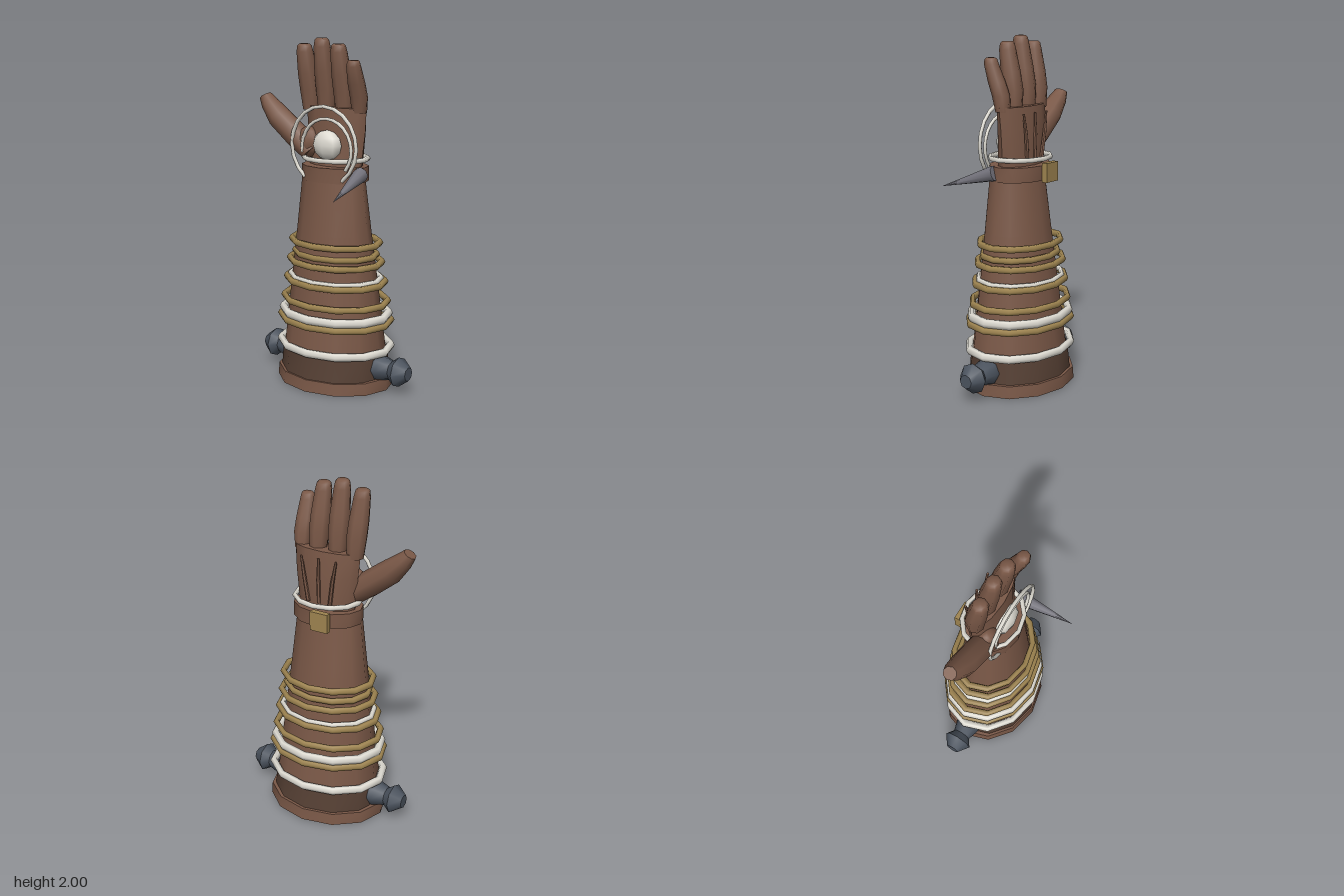
import * as THREE from 'three';
import { toCreasedNormals } from 'three/addons/utils/BufferGeometryUtils.js';

const mat = (name, color) => Object.assign(new THREE.MeshStandardMaterial({ color }), { name });

// Loft of elliptical sections [x, y, z, rx, rz, tilt], listed from bottom to top
function loft(sections, sides, caps = true) {
  const pos = [], idx = [], n = sections.length;
  for (const [x, y, z, rx, rz, tilt = 0] of sections) {
    for (let i = 0; i < sides; i++) {
      const a = (i / sides) * Math.PI * 2, u = rx * Math.sin(a);
      pos.push(x + u * Math.cos(tilt), y + u * Math.sin(tilt), z + rz * Math.cos(a));
    }
  }
  for (let j = 0; j < n - 1; j++) {
    for (let i = 0; i < sides; i++) {
      const k = (i + 1) % sides, a = j * sides, b = a + sides;
      idx.push(a + i, a + k, b + k, a + i, b + k, b + i);
    }
  }
  if (caps) {
    const c = n * sides, top = (n - 1) * sides;
    pos.push(...sections[0].slice(0, 3), ...sections[n - 1].slice(0, 3));
    for (let i = 0; i < sides; i++) {
      const k = (i + 1) % sides;
      idx.push(c, k, i, c + 1, top + i, top + k);
    }
  }
  const g = new THREE.BufferGeometry();
  g.setAttribute('position', new THREE.Float32BufferAttribute(pos, 3));
  g.setIndex(idx);
  return toCreasedNormals(g, 0.9);
}

export function createModel() {
  const model = new THREE.Group();
  model.name = 'gauntletArm';
  const brown = mat('brown leather', 0x7a5847);
  const dark = mat('dark brown leather', 0x564034);
  const gold = mat('gold', 0x9e8450);
  const ivory = mat('ivory', 0xdedbd2);
  const slate = mat('slate metal', 0x4b535e);
  const steel = mat('grey steel', 0x74737c);
  const navy = mat('navy lining', 0x11112e);

  const add = (name, geometry, material, parent = model) => {
    const m = new THREE.Mesh(geometry, material);
    m.name = name;
    parent.add(m);
    return m;
  };

  // Hollow cuff, dark band above it and tapering forearm
  add('cuffRim', loft([
    [0, 0.04, -0.035, 0.3, 0.235], [0, 0, -0.035, 0.3, 0.235], [0, 0, -0.035, 0.365, 0.298],
    [0, 0.07, -0.035, 0.36, 0.292], [0, 0.07, -0.035, 0.32, 0.26],
  ], 12, false), brown);
  const lining = add('cuffLining', new THREE.CircleGeometry(1, 12).rotateX(Math.PI / 2), navy);
  lining.scale.set(0.305, 1, 0.24);
  lining.position.set(0, 0.035, -0.035);
  add('cuffBand', loft([[0, 0.06, -0.032, 0.338, 0.28], [0, 0.21, -0.03, 0.327, 0.265]], 12), dark);
  add('forearm', loft([
    [0, 0.2, -0.03, 0.318, 0.258], [0, 0.6, -0.025, 0.272, 0.21],
    [0, 0.9, -0.02, 0.235, 0.175], [0, 1.22, -0.015, 0.2, 0.137],
  ], 12), brown);

  // Bangles: height, half width, half depth, tube radius, material
  const bangles = [
    [0.225, 0.348, 0.278, 0.024, ivory], [0.38, 0.348, 0.278, 0.02, gold],
    [0.42, 0.332, 0.265, 0.026, ivory], [0.495, 0.328, 0.256, 0.02, gold],
    [0.61, 0.31, 0.243, 0.02, gold], [0.63, 0.285, 0.225, 0.016, ivory],
    [0.725, 0.288, 0.231, 0.02, gold], [0.77, 0.257, 0.2, 0.019, gold],
    [0.84, 0.276, 0.215, 0.02, gold], [1.325, 0.195, 0.162, 0.015, ivory],
  ];
  for (const [y, rx, rz, t, material] of bangles) {
    const ring = add('bangle', new THREE.TorusGeometry(rx, t, 6, 12).rotateX(Math.PI / 2), material);
    ring.scale.z = rz / rx;
    ring.position.set(0, y, -0.035);
  }

  // Side knobs, mirrored
  const knobProfile = [[0, 0.28], [0.08, 0.28], [0.075, 0.34], [0.055, 0.405], [0.088, 0.45], [0.04, 0.515], [0, 0.515]]
    .map(([r, h]) => new THREE.Vector2(r, h));
  for (const s of [-1, 1]) {
    const knob = add('sideKnob', toCreasedNormals(new THREE.LatheGeometry(knobProfile, 8), 0.85), slate);
    knob.rotation.z = -s * Math.PI / 2;
    knob.position.set(0, 0.13, -0.032);
  }

  // Wrist strap, buckle and spike
  add('wristStrap', loft([
    [0, 1.2, -0.03, 0.208, 0.158], [0, 1.285, -0.03, 0.208, 0.158],
  ], 12), brown);
  add('buckle', new THREE.BoxGeometry(0.11, 0.11, 0.035), gold).position.set(-0.05, 1.245, -0.203);
  const from = new THREE.Vector3(0.2, 1.25, 0.0), to = new THREE.Vector3(0.255, 1.15, 0.335);
  const axis = to.clone().sub(from);
  const spike = add('wristSpike', new THREE.ConeGeometry(0.045, axis.length(), 8), steel);
  spike.position.copy(from).lerp(to, 0.5);
  spike.quaternion.setFromUnitVectors(new THREE.Vector3(0, 1, 0), axis.normalize());

  // Palm and thumb
  const hand = new THREE.Group();
  hand.name = 'hand';
  model.add(hand);
  add('palm', loft([
    [0, 1.22, -0.035, 0.17, 0.1], [0, 1.32, -0.04, 0.18, 0.095],
    [0, 1.48, -0.045, 0.198, 0.085], [0, 1.615, -0.04, 0.21, 0.072],
  ], 12), brown, hand);
  const pad = add('thumbPad', new THREE.SphereGeometry(1, 10, 8), brown, hand);
  pad.scale.set(0.075, 0.09, 0.06);
  pad.position.set(-0.15, 1.41, 0.02);
  add('thumb', loft([
    [-0.13, 1.35, 0.01, 0.065, 0.07, 0.75], [-0.23, 1.43, 0.015, 0.075, 0.075, 0.75],
    [-0.37, 1.535, 0.015, 0.07, 0.072, 0.85], [-0.445, 1.61, 0.01, 0.052, 0.055, 0.6],
    [-0.482, 1.655, 0.008, 0.037, 0.038, 0.55],
  ], 8), brown, hand);

  // Fingers: base x, tip x, tip height, half width, forward bend
  const fingers = [
    [-0.172, -0.188, 1.965, 0.06, 0.045], [-0.062, -0.064, 2.0, 0.06, 0.045],
    [0.062, 0.056, 1.97, 0.06, 0.05], [0.165, 0.176, 1.885, 0.052, 0.075],
  ];
  for (const [x0, x1, top, r, bend] of fingers) {
    const h = top - 1.59;
    const sections = [[0, 0.84, 0], [0.3, 1, 0.15], [0.55, 0.98, 0.5], [0.88, 0.82, 0.95], [0.97, 0.7, 1], [1, 0.5, 1]]
      .map(([t, w, b]) => [x0 + (x1 - x0) * t, 1.59 + h * t, -0.035 + bend * b, r * w, r * w * 0.95]);
    add('finger', loft(sections, 8), brown, hand);
  }

  // Tendons on the back of the hand
  for (const s of [-1, 0, 1]) {
    add('tendon', loft([
      [s * 0.07, 1.32, -0.132, 0.012, 0.012], [s * 0.09, 1.46, -0.138, 0.011, 0.011],
      [s * 0.11, 1.58, -0.135, 0.007, 0.007],
    ], 6), brown, hand);
  }

  // Palm gem with two open hoops in front
  const gem = add('palmGem', new THREE.SphereGeometry(1, 8, 6), ivory);
  gem.scale.set(0.1, 0.085, 0.055);
  gem.position.set(0, 1.405, 0.045);
  const hoop = (name, cx, cy, r, z, start, end, t) => {
    const pts = [];
    for (let i = 0; i <= 12; i++) {
      const a = THREE.MathUtils.degToRad(start + ((end - start) * i) / 12);
      pts.push(new THREE.Vector3(cx + r * Math.cos(a), cy + r * Math.sin(a), z));
    }
    add(name, new THREE.TubeGeometry(new THREE.CatmullRomCurve3(pts), 16, t, 6), ivory);
  };
  hoop('outerHoop', 0, 1.4, 0.226, 0.082, -55, 235, 0.011);
  hoop('innerHoop', 0.015, 1.385, 0.172, 0.075, -40, 190, 0.01);
  return model;
}
